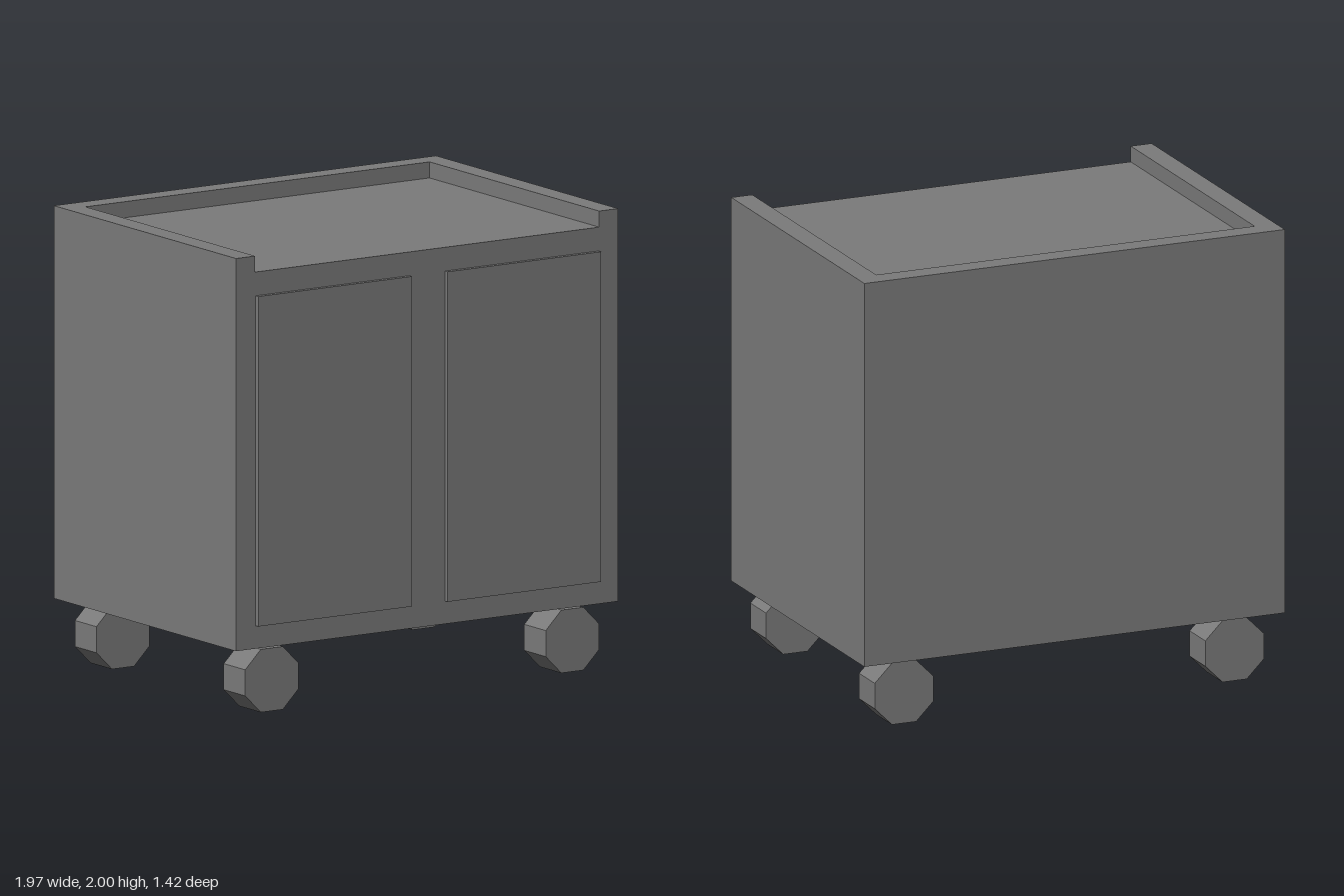
import * as THREE from 'three';

export function createModel() {
  const root = new THREE.Group();
  root.name = 'cabinet';
  const grey = new THREE.MeshStandardMaterial({ color: 0x7a7a7a, flatShading: true });
  grey.name = 'grey';

  const add = (name, geometry, x, y, z) => {
    const mesh = new THREE.Mesh(geometry, grey);
    mesh.name = name;
    mesh.position.set(x, y, z);
    root.add(mesh);
    return mesh;
  };

  const halfWidth = 0.983, front = 0.69, back = -0.707;
  const bottom = 0.29, tray = 1.93, top = 2;
  const inner = 0.885, innerBack = -0.61;

  // Cabinet body up to the floor of the top tray
  add('body', new THREE.BoxGeometry(halfWidth * 2, tray - bottom, front - back),
    0, (bottom + tray) / 2, (front + back) / 2);

  // Raised rim around the back and sides, open at the front
  const outline = [
    [-halfWidth, front], [-inner, front], [-inner, innerBack], [inner, innerBack],
    [inner, front], [halfWidth, front], [halfWidth, back], [-halfWidth, back],
  ].map(([x, z]) => new THREE.Vector2(x, -z));
  const rim = new THREE.ExtrudeGeometry(new THREE.Shape(outline), { depth: top - tray, bevelEnabled: false });
  rim.rotateX(-Math.PI / 2);
  add('topRim', rim, 0, tray, 0);

  // Two doors standing slightly proud of the front
  const door = new THREE.BoxGeometry(0.79, 1.437, 0.04);
  for (const side of [-1, 1]) {
    add(side > 0 ? 'leftDoor' : 'rightDoor', door, side * 0.487, 1.108, 0.69);
  }

  // Four octagonal wheels, flat sides down
  const apothem = 0.137;
  const wheel = new THREE.CylinderGeometry(apothem / Math.cos(Math.PI / 8), apothem / Math.cos(Math.PI / 8), 0.165, 8);
  wheel.rotateY(Math.PI / 8);
  wheel.rotateX(Math.PI / 2);
  for (const x of [-0.771, 0.775]) {
    for (const z of [0.566, -0.574]) {
      add((z > 0 ? 'front' : 'back') + (x > 0 ? 'Left' : 'Right') + 'Wheel', wheel, x, apothem, z);
    }
  }
  return root;
}
